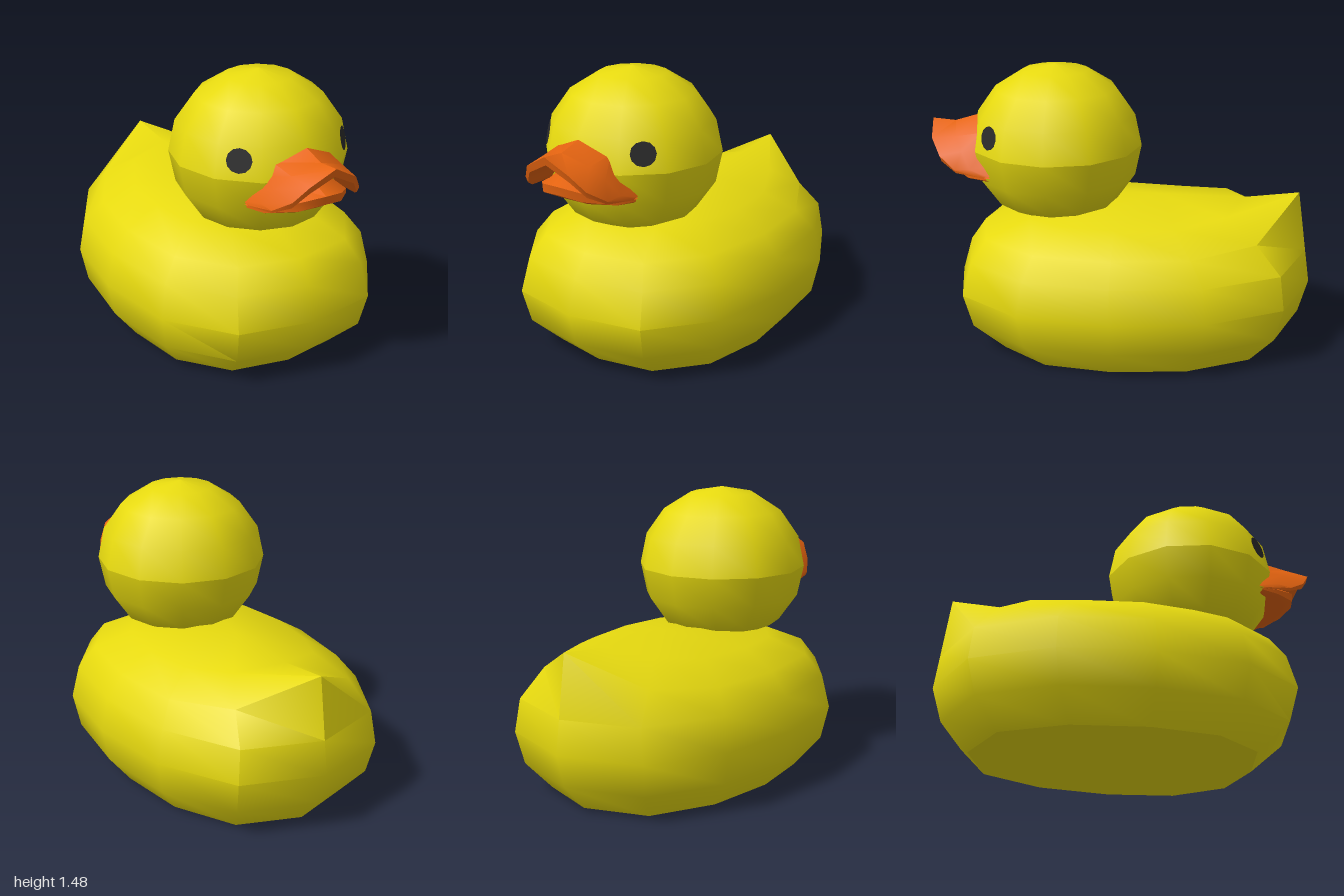
import * as THREE from 'three';
import { toCreasedNormals } from 'three/addons/utils/BufferGeometryUtils.js';

// Completes a row given from its first point to the centre line (x = 0).
const mirrorRow = (half) => [
  ...half,
  ...half.slice(0, -1).reverse().map(([x, y, z]) => [-x, y, z]),
];

// Skins a list of equally long rows of points.
function loft(rows, crease) {
  const n = rows[0].length;
  const index = [];
  for (let r = 0; r < rows.length - 1; r++) {
    for (let c = 0; c < n - 1; c++) {
      const a = r * n + c, d = a + 1, b = a + n, e = b + 1;
      index.push(a, d, b, d, e, b);
    }
  }
  const geo = new THREE.BufferGeometry();
  geo.setAttribute('position', new THREE.Float32BufferAttribute(rows.flat(2), 3));
  geo.setIndex(index);
  return toCreasedNormals(geo, crease);
}

export function createModel() {
  const group = new THREE.Group();
  const material = (name, color) => {
    const m = new THREE.MeshStandardMaterial({ color });
    m.name = name;
    return m;
  };
  const yellow = material('yellow', 0xe6d90f);
  const orange = material('orange', 0xe66410);
  const black = material('black', 0x2a2a2a);
  yellow.side = orange.side = THREE.DoubleSide;

  const add = (name, geo, mat) => {
    const mesh = new THREE.Mesh(geo, mat);
    mesh.name = name;
    group.add(mesh);
    return mesh;
  };

  // Body: twelve-sided rings, [y, half width, front z, back z]
  const across = [0, 0.56, 0.91, 1, 0.91, 0.6, 0];
  const along = [1, 0.91, 0.54, 0, -0.47, -0.86, -1];
  const halves = [
    [0, 0.535, 0.65, -0.81],
    [0.15, 0.655, 0.82, -0.95],
    [0.325, 0.69, 0.87, -1],
    [0.5, 0.655, 0.82, -0.975],
    [0.615, 0.565, 0.74, -0.83],
    [0.715, 0.4, 0.5, -0.64],
  ].map(([y, w, front, back]) =>
    across.map((s, i) => [s * w, y, along[i] > 0 ? along[i] * front : -along[i] * back]));
  halves.push(across.map(() => [0, 0.79, -0.2]));

  // Raised tail tip and the back sloping up to it
  halves[4][6] = [0, 0.82, -0.93];
  halves[4][5][1] = 0.645;
  halves[5][6][1] = 0.785;
  halves[5][5][1] = 0.75;
  halves[5][0][1] = 0.7;
  const rings = halves.map(mirrorRow);
  add('body', loft(rings, 0.85), yellow);

  // Flat underside
  const centre = rings[0].map(() => [0, 0, -0.08]);
  add('bodyBase', loft([centre, rings[0]], 0.1), yellow);

  // Head: two half shells meeting at the equator
  const headPoint = (deg) => {
    const a = THREE.MathUtils.degToRad(deg);
    return new THREE.Vector2(0.448 * Math.cos(a), 1.055 + 0.425 * Math.sin(a));
  };
  const crown = [0, 22.5, 45, 67.5].map(headPoint);
  crown.push(new THREE.Vector2(0, 1.48));
  const jaw = [new THREE.Vector2(0, 0.69), new THREE.Vector2(0.19, 0.697),
    ...[-45, -22.5, 0].map(headPoint)];
  add('headTop', new THREE.LatheGeometry(crown, 12), yellow).position.z = 0.345;
  add('headBottom', new THREE.LatheGeometry(jaw, 12), yellow).position.z = 0.345;

  // Eyes: thin discs lying on the slanted head facets
  for (const side of [1, -1]) {
    const eye = add(side > 0 ? 'leftEye' : 'rightEye', new THREE.CircleGeometry(1, 12), black);
    eye.scale.set(0.064, 0.061, 1);
    eye.rotation.set(-0.2, side * Math.PI / 4, 0, 'YXZ');
    eye.position.set(side * 0.299, 1.153, 0.645);
  }

  // Upper bill: root, dip, lip, lip underside, roof of the mouth
  const upper = [
    [[0.27, 0.945, 0.64], [0.25, 0.985, 0.66], [0.19, 1.07, 0.69], [0.155, 1.14, 0.71], [0, 1.2, 0.755]],
    [[0.272, 0.94, 0.66], [0.255, 0.97, 0.76], [0.205, 1.05, 0.81], [0.145, 1.115, 0.85], [0, 1.162, 0.88]],
    [[0.272, 0.935, 0.68], [0.243, 0.96, 0.84], [0.19, 1.02, 0.93], [0.13, 1.1, 0.98], [0, 1.172, 1]],
    [[0.272, 0.93, 0.68], [0.238, 0.945, 0.835], [0.185, 0.99, 0.92], [0.125, 1.065, 0.97], [0, 1.13, 0.99]],
    [[0.27, 0.93, 0.64], [0.23, 0.95, 0.65], [0.18, 1.0, 0.69], [0.13, 1.05, 0.71], [0, 1.105, 0.73]],
  ];
  add('upperBill', loft(upper.map(mirrorRow), 0.7), orange);

  // Lower bill: floor of the mouth, lip, rounded chin, root
  const lower = [
    [[0.27, 0.93, 0.64], [0.23, 0.955, 0.65], [0.14, 1.03, 0.7], [0, 1.09, 0.73]],
    [[0.272, 0.93, 0.67], [0.235, 0.945, 0.77], [0.12, 0.99, 0.89], [0, 1.01, 0.93]],
    [[0.272, 0.92, 0.67], [0.235, 0.92, 0.77], [0.12, 0.945, 0.885], [0, 0.965, 0.92]],
    [[0.25, 0.906, 0.66], [0.21, 0.91, 0.75], [0.11, 0.918, 0.83], [0, 0.93, 0.86]],
    [[0.24, 0.905, 0.64], [0.2, 0.907, 0.64], [0.1, 0.915, 0.68], [0, 0.925, 0.7]],
  ];
  add('lowerBill', loft(lower.map(mirrorRow), 0.7), orange);

  return group;
}
